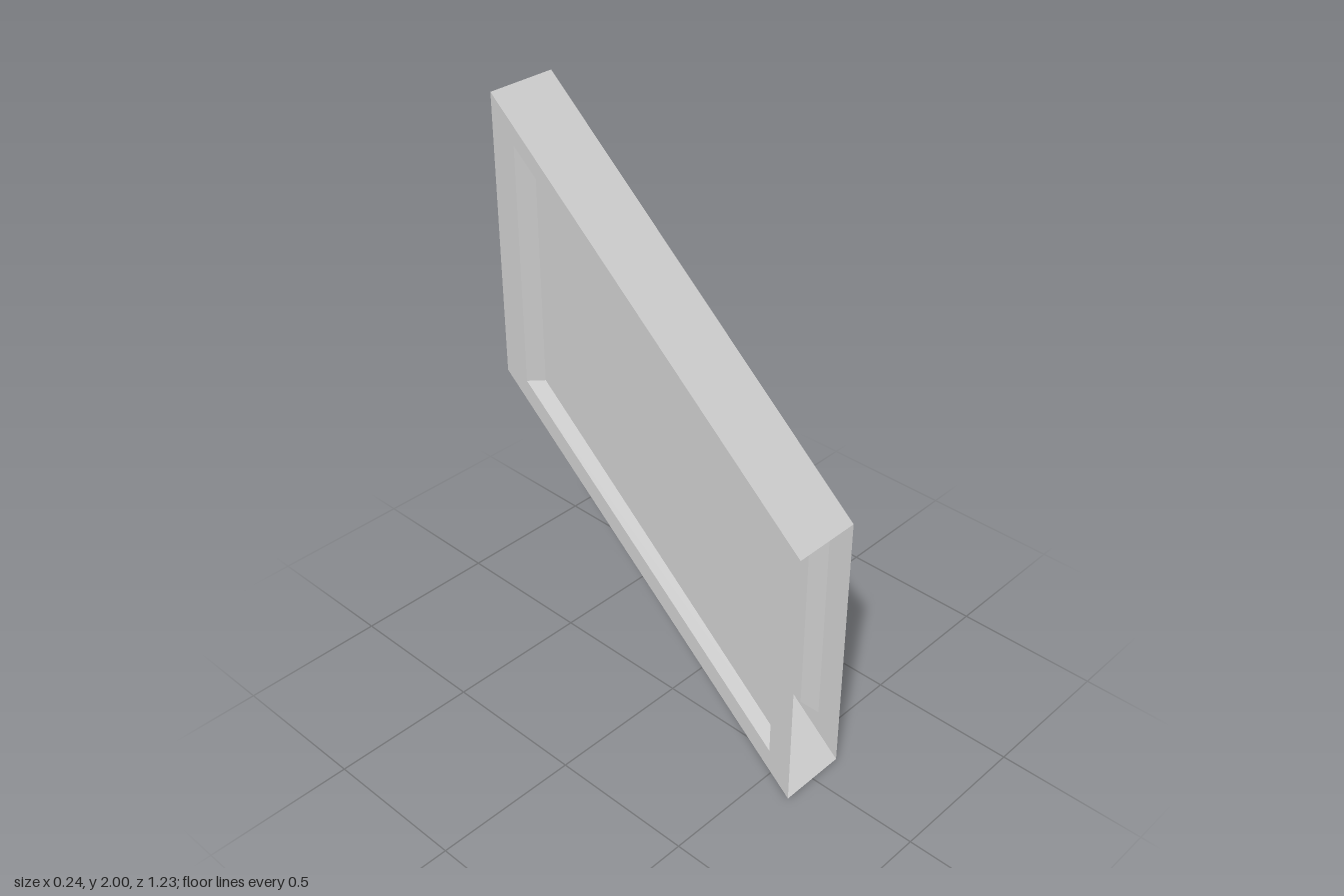
import * as THREE from 'three';

const HALF_WIDTH = 0.12;
const PANEL_X = 0.073;

// Sloped outlines as [z, y]: front bottom, back bottom, back top, front top
const RIM = [[0.613, 0], [-0.613, 1.06], [-0.613, 2], [0.613, 0.942]];
const RECESS_EDGE = [[0.53, 0.15], [-0.524, 1.056], [-0.524, 1.86], [0.53, 0.956]];
const RECESS_FLOOR = [[0.492, 0.203], [-0.487, 1.053], [-0.487, 1.802], [0.492, 0.957]];

const material = new THREE.MeshStandardMaterial({
  color: 0xcccccc, flatShading: true, side: THREE.DoubleSide,
});

// Flat-shaded mesh from a list of four-cornered faces
function quadMesh(name, quads) {
  const points = quads.flatMap(([a, b, c, d]) => [a, b, c, a, c, d]);
  const geometry = new THREE.BufferGeometry().setFromPoints(points);
  geometry.computeVertexNormals();
  const mesh = new THREE.Mesh(geometry, material);
  mesh.name = name;
  return mesh;
}

const loopAt = (outline, x) => outline.map(([z, y]) => new THREE.Vector3(x, y, z));

// Four faces joining one outline to the next
function band(outer, inner) {
  return outer.map((p, i) => {
    const j = (i + 1) % 4;
    return [p, outer[j], inner[j], inner[i]];
  });
}

// One side: flat frame, bevelled recess and sunken panel
function sideWall(side, name) {
  const rim = loopAt(RIM, side * HALF_WIDTH);
  const edge = loopAt(RECESS_EDGE, side * HALF_WIDTH);
  const floor = loopAt(RECESS_FLOOR, side * PANEL_X);
  const parts = { Frame: band(rim, edge), Bevel: band(edge, floor), Panel: [floor] };
  const wall = new THREE.Group();
  wall.name = name;
  for (const [part, quads] of Object.entries(parts)) {
    const facing = side > 0 ? quads : quads.map((q) => [...q].reverse());
    wall.add(quadMesh(name + part, facing));
  }
  return wall;
}

export function createModel() {
  const model = new THREE.Group();
  model.name = 'slopedBalustrade';
  model.add(sideWall(1, 'leftWall'), sideWall(-1, 'rightWall'));

  // Sloped top and bottom sheets; the front and back ends stay open
  const l = loopAt(RIM, HALF_WIDTH);
  const r = loopAt(RIM, -HALF_WIDTH);
  model.add(quadMesh('topRail', [[l[3], l[2], r[2], r[3]]]));
  model.add(quadMesh('bottomRail', [[l[1], l[0], r[0], r[1]]]));
  return model;
}
